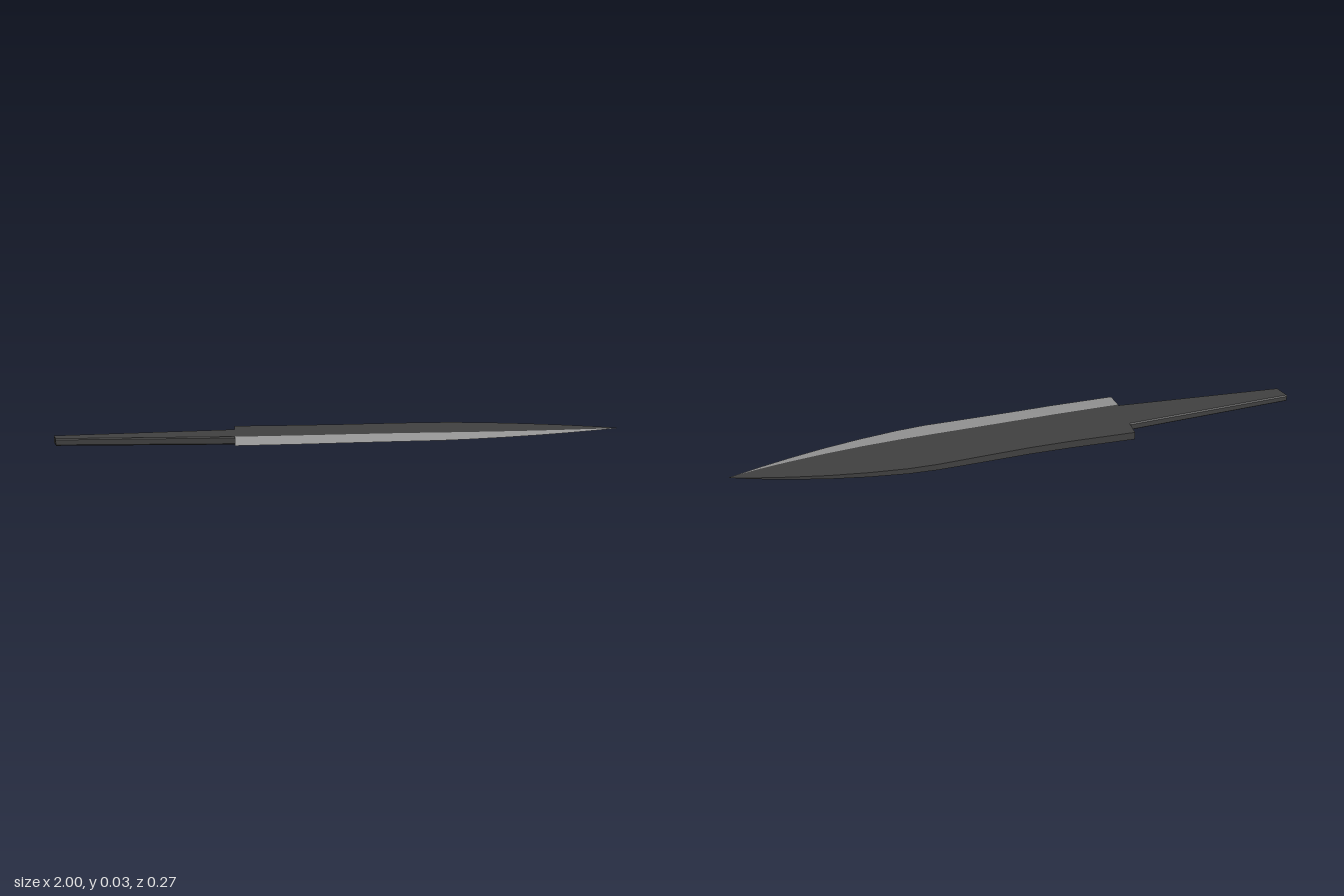
import * as THREE from 'three';

// Skins the chosen sides of a row of cross-section rings with flat faces
function loft(rings, sides, capStart, capEnd) {
  const out = [];
  const tri = (...pts) => pts.forEach((p) => out.push(...p));
  for (let i = 0; i < rings.length - 1; i++) {
    const r = rings[i], s = rings[i + 1];
    for (const k of sides) {
      const n = (k + 1) % r.length;
      tri(r[k], r[n], s[n]);
      tri(r[k], s[n], s[k]);
    }
  }
  const first = rings[0], last = rings[rings.length - 1];
  for (let k = 1; k < first.length - 1; k++) {
    if (capStart) tri(first[0], first[k + 1], first[k]);
    if (capEnd) tri(last[0], last[k], last[k + 1]);
  }
  const g = new THREE.BufferGeometry();
  g.setAttribute('position', new THREE.Float32BufferAttribute(out, 3));
  g.computeVertexNormals();
  return g;
}

export function createModel() {
  const group = new THREE.Group();
  const darkSteel = new THREE.MeshStandardMaterial({ color: 0x404040, flatShading: true });
  darkSteel.name = 'dark steel';
  const groundSteel = new THREE.MeshStandardMaterial({ color: 0x959595, flatShading: true });
  groundSteel.name = 'ground steel';
  const add = (name, geometry, material) => {
    const mesh = new THREE.Mesh(geometry, material);
    mesh.name = name;
    group.add(mesh);
  };
  const midY = 0.016;

  // Blade stations: x, spine z, bevel line z, cutting edge z, half thickness
  const stations = [
    [-0.38, -0.13, 0.055, 0.133, 0.0145],
    [-0.15, -0.125, 0.052, 0.131, 0.014],
    [0.0, -0.126, 0.048, 0.126, 0.0135],
    [0.2, -0.135, 0.043, 0.122, 0.0125],
    [0.32, -0.14, 0.041, 0.12, 0.0115],
    [0.42, -0.138, 0.039, 0.111, 0.0105],
    [0.55, -0.125, 0.033, 0.092, 0.009],
    [0.68, -0.105, 0.023, 0.067, 0.007],
    [0.8, -0.08, 0.01, 0.038, 0.005],
    [0.9, -0.055, -0.004, 0.01, 0.003],
    [0.96, -0.038, -0.015, -0.01, 0.0015],
    [1.0, -0.025, -0.024, -0.023, 0.0003],
  ];
  const rings = stations.map(([x, spine, bevel, edge, h]) => [
    [x, midY + h, spine], [x, midY + h, bevel], [x, midY, edge],
    [x, midY - h, bevel], [x, midY - h, spine],
  ]);
  add('bladeBody', loft(rings, [0, 3, 4], true, true), darkSteel);
  add('cuttingBevel', loft(rings, [1, 2], false, false), groundSteel);

  // Tapered tang with a slightly slanted butt and softened corners
  const tangRing = (x, back, front, h, slant) => {
    const c = 0.004, x2 = x + slant;
    return [
      [x, midY + h, back + c], [x2, midY + h, front - c],
      [x2, midY + h - c, front], [x2, midY - h + c, front],
      [x2, midY - h, front - c], [x, midY - h, back + c],
      [x, midY - h + c, back], [x, midY + h - c, back],
    ];
  };
  const tang = [tangRing(-1, -0.04, 0.018, 0.0125, 0.014), tangRing(-0.375, -0.075, 0.054, 0.014, 0)];
  add('tang', loft(tang, [0, 1, 2, 3, 4, 5, 6, 7], true, true), darkSteel);

  // Rest the lowest face on the ground
  const box = new THREE.Box3().setFromObject(group);
  group.children.forEach((m) => { m.position.y -= box.min.y; });
  return group;
}
